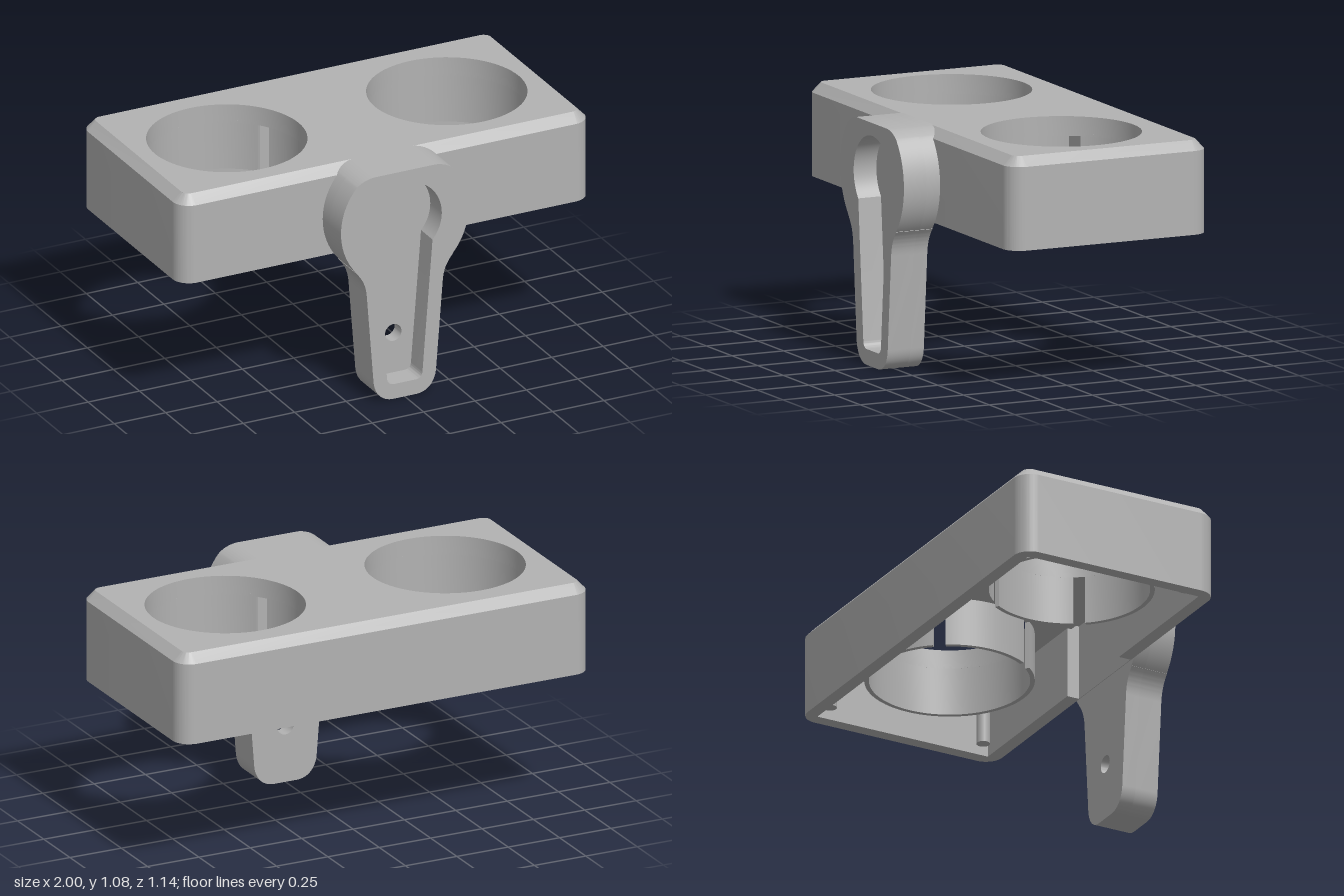
import * as THREE from 'three';
import { toCreasedNormals } from 'three/addons/utils/BufferGeometryUtils.js';

const BACK = -0.57, FRONT = 0.395, BASE = 0.665, SHOULDER = 1.035, TOP = 1.077, UNDER = 0.99;
const HOLE_X = 0.535, HOLE_Z = -0.08, HOLE_R = 0.35;

// Rounded rectangle of the body, drawn in plan (shape y = -z) and inset evenly
function bodyOutline(inset, r) {
  const x = 1 - inset - r, y0 = -FRONT + inset + r, y1 = -BACK - inset - r, q = Math.PI / 2;
  const s = new THREE.Shape();
  s.absarc(x, y0, r, -q, 0);
  s.absarc(x, y1, r, 0, q);
  s.absarc(-x, y1, r, q, 2 * q);
  s.absarc(-x, y0, r, 2 * q, 3 * q);
  s.closePath();
  return s;
}

function circle(x, y, r) {
  return new THREE.Path().absarc(x, y, r, 0, Math.PI * 2, true);
}

function extrude(shape, depth, segments = 12) {
  const g = new THREE.ExtrudeGeometry(shape, { depth, bevelEnabled: false, curveSegments: segments });
  return toCreasedNormals(g, 0.5);
}

// Extrude a plan shape upward between two heights
function rise(shape, y0, y1, segments) {
  return extrude(shape, y1 - y0, segments).rotateX(-Math.PI / 2).translate(0, y0, 0);
}

// Mirror a right-hand half profile (bottom to top) into a closed point list
function mirrored(points) {
  return points.concat(points.slice().reverse().map(p => new THREE.Vector2(-p.x, p.y)));
}

export function createModel() {
  const group = new THREE.Group();
  const grey = new THREE.MeshStandardMaterial({ color: 0xb2b2b2 });
  grey.name = 'grey plastic';
  const add = (name, geometry) => {
    const m = new THREE.Mesh(geometry, grey);
    m.name = name;
    group.add(m);
    return m;
  };

  // Hollow side walls, open below, thinned behind the bracket
  const wall = bodyOutline(0, 0.08);
  const w = 0.06, ix = 1 - w, iy0 = -FRONT + w, iy1 = -BACK - w, g = 0.23;
  wall.holes.push(new THREE.Path([
    [-ix, iy0], [-ix, iy1], [ix, iy1], [ix, iy0],
    [g, iy0], [g, -FRONT + 0.003], [-g, -FRONT + 0.003], [-g, iy0],
  ].map(p => new THREE.Vector2(...p))));
  add('bodyWalls', rise(wall, BASE, SHOULDER));

  // Top plate with two round openings
  const plate = bodyOutline(0.04, 0.035);
  for (const s of [-1, 1]) plate.holes.push(circle(s * HOLE_X, -HOLE_Z, HOLE_R));
  add('topPlate', rise(plate, UNDER, TOP, 36));

  // Chamfer between walls and top plate
  const lower = bodyOutline(0, 0.08).getPoints(12), upper = bodyOutline(0.04, 0.035).getPoints(12);
  const pos = [];
  for (let i = 0; i < lower.length - 1; i++) {
    const a = [lower[i].x, SHOULDER, -lower[i].y], b = [lower[i + 1].x, SHOULDER, -lower[i + 1].y];
    const c = [upper[i + 1].x, TOP, -upper[i + 1].y], d = [upper[i].x, TOP, -upper[i].y];
    pos.push(...a, ...b, ...c, ...a, ...c, ...d);
  }
  const band = new THREE.BufferGeometry();
  band.setAttribute('position', new THREE.Float32BufferAttribute(pos, 3));
  add('topChamfer', toCreasedNormals(band, 0.5));

  // Sleeves below the openings, each with two slots facing the middle
  const slot = THREE.MathUtils.degToRad(36), half = 0.075;
  const sector = (from, to) => {
    const s = new THREE.Shape();
    s.absarc(0, 0, HOLE_R + 0.02, from, to, false);
    s.absarc(0, 0, HOLE_R, to, from, true);
    s.closePath();
    return s;
  };
  for (const side of [-1, 1]) {
    const turn = side > 0 ? Math.PI : 0;
    const arcs = [
      sector(turn - slot + half, turn + slot - half),
      sector(turn + slot + half, turn + Math.PI * 2 - slot - half),
    ];
    for (const arc of arcs) {
      add('holderSleeve', rise(arc, 0.77, UNDER + 0.01, 36)).position.set(side * HOLE_X, 0, HOLE_Z);
    }
  }

  // Corner pins inside the body
  for (const x of [-0.9, 0.9]) for (const z of [-0.47, 0.29]) {
    add('cornerPin', new THREE.CylinderGeometry(0.03, 0.03, 0.3, 20)).position.set(x, 0.85, z);
  }

  // Bracket outline: tapered arm swelling into a flat-topped disc
  const edge = new THREE.Path();
  edge.moveTo(0.055, 0);
  edge.bezierCurveTo(0.11, 0, 0.147, 0.04, 0.152, 0.1);
  edge.lineTo(0.185, 0.52);
  edge.bezierCurveTo(0.19, 0.57, 0.205, 0.6, 0.235, 0.635);
  edge.absarc(0, 0.84, 0.31, -0.717, 0.72, false);
  edge.quadraticCurveTo(0.2, 1.072, 0.15, TOP);
  const outline = mirrored(edge.getPoints(16));

  // Keyhole-shaped recess
  const recess = new THREE.Path();
  recess.moveTo(0.055, 0.07);
  recess.quadraticCurveTo(0.083, 0.072, 0.086, 0.1);
  recess.lineTo(0.135, 0.721);
  recess.absarc(0, 0.84, 0.18, -0.723, Math.PI / 2 - 0.02, false);

  const front = new THREE.Shape(outline);
  front.holes.push(new THREE.Path(mirrored(recess.getPoints(16)).reverse()));
  add('bracketRim', extrude(front, 0.11).translate(0, 0, 0.46));

  // Bracket back with a screw hole
  const back = new THREE.Shape(outline);
  back.holes.push(circle(0, 0.26, 0.04));
  add('bracketBack', extrude(back, 0.065, 16).translate(0, 0, FRONT));

  // Top of the bracket running back over the chamfer
  const cap = new THREE.Shape(outline.filter(p => p.y > 1.0));
  add('bracketCap', extrude(cap, 0.05).translate(0, 0, 0.346));

  return group;
}
